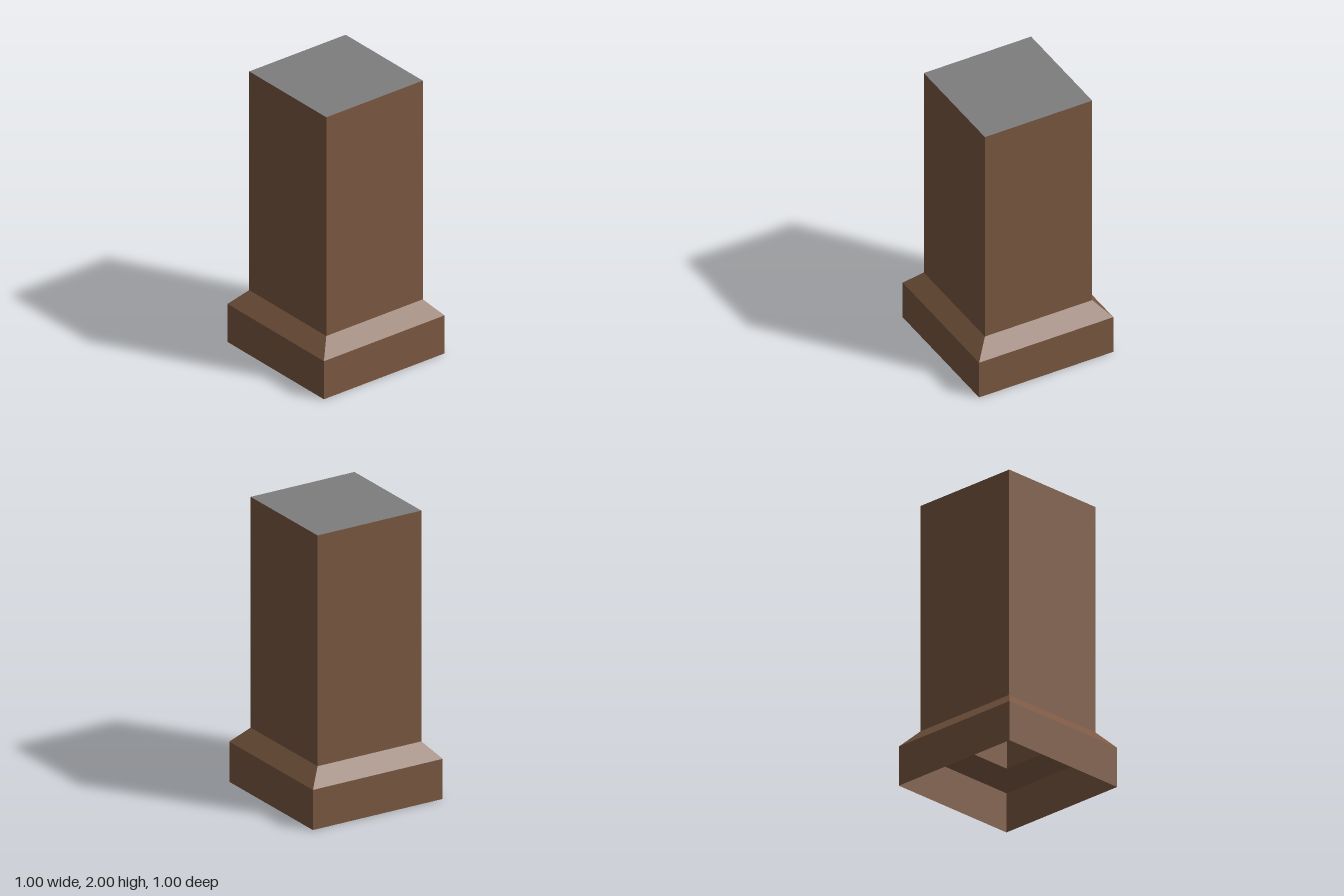
import * as THREE from 'three';

export function createModel() {
  const model = new THREE.Group();
  model.name = 'pillar';

  const brown = new THREE.MeshStandardMaterial({ color: 0x7b5841, side: THREE.DoubleSide, flatShading: true });
  brown.name = 'brown';
  const grey = new THREE.MeshStandardMaterial({ color: 0x7d7d7d, side: THREE.DoubleSide, flatShading: true });
  grey.name = 'grey';

  // Open square sleeve between two heights, given half widths at bottom and top
  function addSleeve(name, y0, y1, half0, half1) {
    const indexed = new THREE.CylinderGeometry(half1 * Math.SQRT2, half0 * Math.SQRT2, y1 - y0, 4, 1, true, Math.PI / 4);
    const geometry = indexed.toNonIndexed();
    geometry.computeVertexNormals();
    const mesh = new THREE.Mesh(geometry, brown);
    mesh.name = name;
    mesh.position.y = (y0 + y1) / 2;
    model.add(mesh);
  }

  // Hollow shell, open underneath
  addSleeve('plinth', 0, 0.28, 0.5, 0.5);
  addSleeve('bevel', 0.28, 0.39, 0.5, 0.4);
  addSleeve('shaft', 0.39, 2, 0.4, 0.4);

  // Flat top face
  const top = new THREE.Mesh(new THREE.PlaneGeometry(0.8, 0.8), grey);
  top.name = 'top';
  top.rotation.x = -Math.PI / 2;
  top.position.y = 2;
  model.add(top);

  return model;
}
